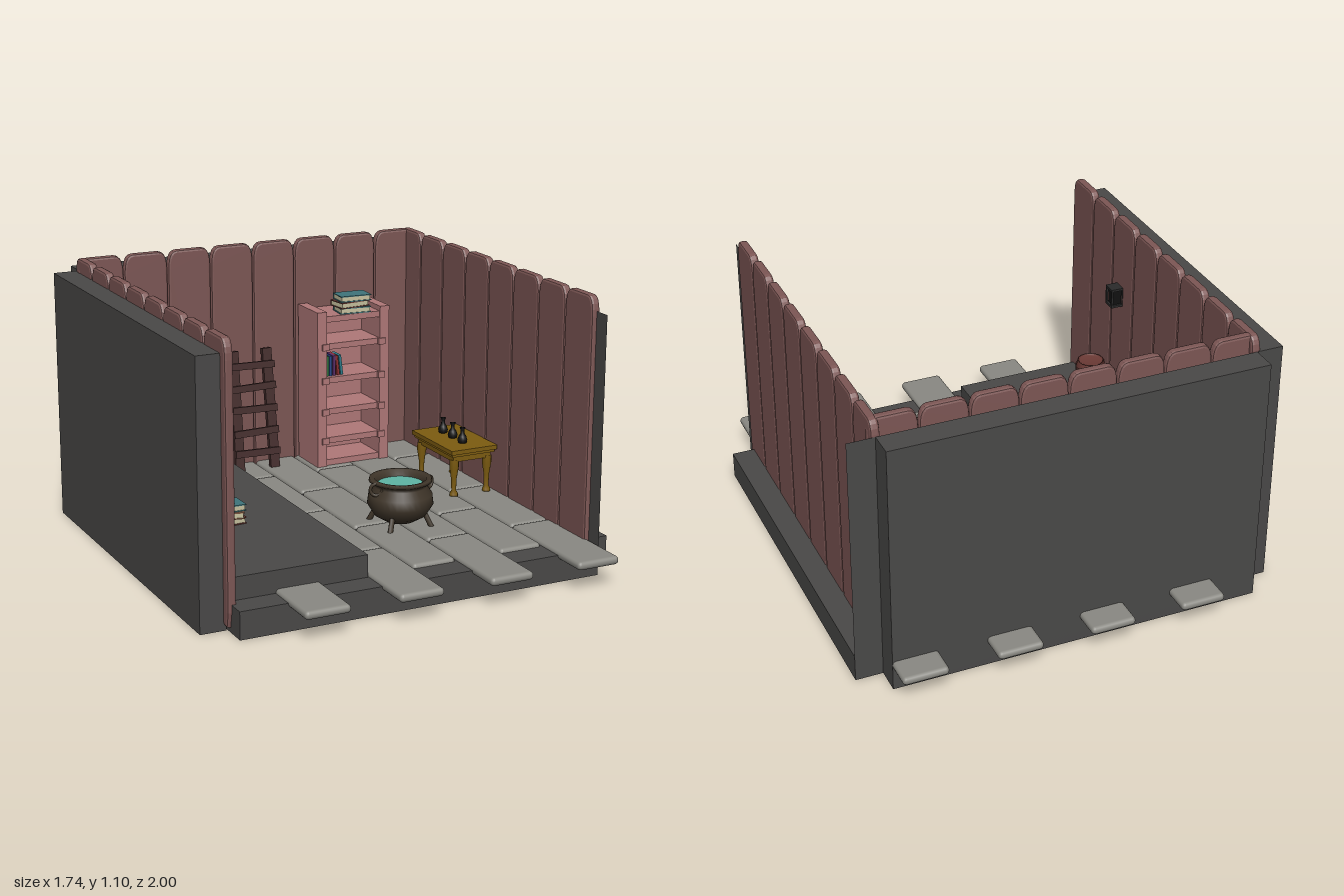
import * as THREE from 'three';
import { RoundedBoxGeometry } from 'three/addons/geometries/RoundedBoxGeometry.js';

const mats = {};
function mat(color, double = false) {
  const key = color + '_' + double;
  return mats[key] ??= new THREE.MeshStandardMaterial({ color, side: double ? THREE.DoubleSide : THREE.FrontSide });
}
const C = { wall: 0x4a4948, stone: 0x8a8983, plank: 0x7d5755, pink: 0xb07878, dark: 0x432b2a, red: 0x6b3a35,
  band: 0x4f2d2a, gold: 0x7d5c10, iron: 0x40362a, teal: 0x3f757c, page: 0xc8c2a0, black: 0x111111 };

function add(parent, name, geo, color, x = 0, y = 0, z = 0, double = false) {
  const m = new THREE.Mesh(geo, mat(color, double));
  m.name = name;
  m.position.set(x, y, z);
  parent.add(m);
  return m;
}
// box given by its extents on each axis
function span(parent, name, color, x0, x1, y0, y1, z0, z1) {
  return add(parent, name, new THREE.BoxGeometry(x1 - x0, y1 - y0, z1 - z0), color, (x0 + x1) / 2, (y0 + y1) / 2, (z0 + z1) / 2);
}
function group(parent, name, x = 0, y = 0, z = 0, ry = 0) {
  const g = new THREE.Group();
  g.name = name;
  g.position.set(x, y, z);
  g.rotation.y = ry;
  parent.add(g);
  return g;
}
const lathe = (pts, n = 24) => new THREE.LatheGeometry(pts.map(p => new THREE.Vector2(...p)), n);

// upright board with rounded top corners and bevelled edges
function plankGeometry(w, h, t) {
  const b = 0.01, x = w / 2 - b, s = new THREE.Shape();
  s.moveTo(-x + 0.01, b);
  s.lineTo(x - 0.01, b);
  s.lineTo(x, 0.06);
  s.lineTo(x, h - 0.08);
  s.quadraticCurveTo(x, h - b, x - 0.03, h - b);
  s.lineTo(-x + 0.03, h - b);
  s.quadraticCurveTo(-x, h - b, -x, h - 0.08);
  s.lineTo(-x, 0.06);
  const g = new THREE.ExtrudeGeometry(s, { depth: t - 2 * b, bevelThickness: b, bevelSize: b, bevelSegments: 2, curveSegments: 5 });
  return g.translate(0, 0, -t / 2 + b);
}

function buildShell(root) {
  const g = group(root, 'shell');
  span(g, 'floorSlab', C.wall, -0.76, 0.76, 0, 0.11, -0.885, 0.85);
  span(g, 'rightFooting', C.wall, 0.76, 0.87, 0, 0.11, -0.78, 0.74);
  span(g, 'leftWall', C.wall, -0.87, -0.765, 0, 1.04, -0.78, 0.74);
  span(g, 'backWall', C.wall, -0.76, 0.76, 0, 1.04, -0.885, -0.78);
  // thin end panels of the two open walls
  add(g, 'rightWallEnd', new THREE.PlaneGeometry(0.11, 1.04), C.wall, 0.815, 0.52, -0.78, true);
  add(g, 'frontWallEnd', new THREE.PlaneGeometry(0.11, 1.04), C.wall, 0.76, 0.52, 0.795, true).rotation.y = Math.PI / 2;
  span(g, 'platform', C.wall, -0.755, -0.19, 0.1, 0.2, -0.75, 0.74);

  const plank = plankGeometry(0.192, 1.08, 0.036);
  for (let i = 0; i < 8; i++) {
    const p = (i - 3.5) * 0.195;
    add(g, 'backPlank', plank, C.plank, p, 0.02, -0.735);
    for (const s of [-1, 1]) add(g, 'sidePlank', plank, C.plank, s * 0.758, 0.02, p).rotation.y = s * Math.PI / 2;
  }
  // paving: alternate columns are offset by half a slab
  const slab = len => new RoundedBoxGeometry(0.184, 0.034, len, 2, 0.016);
  const long = slab(0.497), shorter = slab(0.49);
  for (const x of [-0.476, -0.094, 0.288, 0.668])
    for (let i = 0; i < 4; i++) add(g, 'pavingStone', long, C.stone, x, 0.109, -0.75 + i * 0.5);
  for (const x of [0.097, 0.478])
    for (let i = 0; i < 3; i++) add(g, 'pavingStone', shorter, C.stone, x, 0.109, -0.498 + i * 0.495);
}

function buildCauldron(root) {
  const g = group(root, 'cauldron', 0.19, 0.12, 0.28);
  add(g, 'pot', lathe([[0, 0.012], [0.06, 0.018], [0.105, 0.045], [0.133, 0.09], [0.128, 0.13], [0.105, 0.162], [0.11, 0.175],
    [0.127, 0.184], [0.124, 0.195], [0.105, 0.195], [0.092, 0.175], [0.09, 0.14]], 32), C.iron, 0, 0, 0, true);
  add(g, 'potion', new THREE.CircleGeometry(0.096, 32).rotateX(-Math.PI / 2), 0x5fb5a5, 0, 0.17, 0);
  for (const s of [-1, 1]) add(g, 'handle', new THREE.TorusGeometry(0.024, 0.007, 8, 16), C.iron, s * 0.118, 0.165, 0.02).rotation.y = 0.5 * s;
  for (let i = 0; i < 4; i++) {
    const a = Math.PI / 4 + i * Math.PI / 2, at = (r, y) => new THREE.Vector3(Math.cos(a) * r, y, Math.sin(a) * r);
    add(g, 'foot', new THREE.TubeGeometry(new THREE.LineCurve3(at(0.1, 0.06), at(0.135, -0.005)), 1, 0.011, 8), C.iron, 0, 0, 0, true);
  }
}

function buildTable(root) {
  const g = group(root, 'sideTable', 0.628, 0, -0.062);
  span(g, 'tableTop', C.gold, -0.108, 0.108, 0.312, 0.33, -0.173, 0.173);
  span(g, 'tableMoulding', C.gold, -0.1, 0.1, 0.3, 0.312, -0.165, 0.165);
  span(g, 'tableApron', C.gold, -0.088, 0.088, 0.275, 0.3, -0.153, 0.153);
  const leg = lathe([[0, 0.12], [0.018, 0.12], [0.018, 0.135], [0.01, 0.15], [0.012, 0.2], [0.02, 0.25], [0.02, 0.285]], 10);
  for (const x of [-0.078, 0.078]) for (const z of [-0.14, 0.14]) add(g, 'tableLeg', leg, C.gold, x, 0, z);
  const bottle = lathe([[0, 0.33], [0.018, 0.332], [0.021, 0.345], [0.016, 0.36], [0.008, 0.372], [0.008, 0.388], [0.013, 0.396], [0.007, 0.396]], 14);
  for (const z of [-0.083, 0, 0.083]) add(g, 'bottle', bottle, C.black, -0.008, 0, z, true);
}

// lying book: two covers, a spine and a page block
function book(parent, w, h, d, color, y, ry, x = 0, z = 0) {
  const g = group(parent, 'book', x, y, z, ry);
  const t = h * 0.15;
  span(g, 'pages', C.page, -w / 2 + 0.004, w / 2 - 0.004, t, h - t, -d / 2, d / 2 - 0.004);
  span(g, 'lowerCover', color, -w / 2, w / 2, 0, t, -d / 2, d / 2);
  span(g, 'upperCover', color, -w / 2, w / 2, h - t, h, -d / 2, d / 2);
  span(g, 'spine', color, -w / 2, w / 2, 0, h, -d / 2 - 0.004, -d / 2);
  return g;
}

function buildBookcase(root) {
  const g = group(root, 'bookcase', 0.38, 0, -0.61);
  span(g, 'backPanel', C.pink, -0.15, 0.15, 0.12, 0.79, -0.1, -0.085);
  for (const s of [-1, 1]) {
    span(g, 'sidePanel', C.pink, s * 0.15 - 0.022, s * 0.15 + 0.022, 0.12, 0.815, -0.1, 0.095);
    for (const y of [0.24, 0.37, 0.51, 0.66])
      span(g, 'tenon', C.pink, s * 0.135 - 0.016, s * 0.135 + 0.016, y - 0.014, y + 0.014, 0.08, 0.102);
  }
  for (const y of [0.14, 0.24, 0.37, 0.51, 0.66, 0.78]) span(g, 'shelfBoard', C.pink, -0.15, 0.15, y - 0.013, y + 0.013, -0.1, 0.088);
  [0x2f6b3c, 0x2a4a8a, 0x5a2f6b, 0x8a2f2f, 0x2f7b8a].forEach((c, i) => {
    const b = add(g, 'standingBook', new THREE.BoxGeometry(0.012, 0.088, 0.07), c, -0.113 + i * 0.016, 0.568, 0.035);
    b.rotation.z = i > 2 ? 0.12 : 0;
  });
  [[0.02, -0.1], [0.01, 0.12], [0.02, -0.06]].forEach(([x, r], i) =>
    book(g, 0.14, 0.026, 0.09, i === 1 ? C.red : C.teal, 0.793 + i * 0.026, r, x, 0.04));
}

function buildLadder(root) {
  const g = group(root, 'ladder', -0.035, 0.12, -0.615);
  g.rotation.x = -0.14;
  for (const s of [-1, 1]) add(g, 'ladderRail', new THREE.BoxGeometry(0.042, 0.525, 0.022), C.dark, s * 0.08, 0.265, 0).rotation.z = s * 0.01;
  [0.08, 0.17, 0.27, 0.365, 0.46].forEach((y, i) =>
    add(g, 'rung', new THREE.BoxGeometry(0.208, 0.03, 0.018), C.dark, 0, y, 0.016).rotation.z = (i % 2 ? 1 : -1) * 0.02);
}

function buildWallShelf(root) {
  const g = group(root, 'wallShelf', -0.433, 0, -0.67);
  add(g, 'shelfBoard', new RoundedBoxGeometry(0.25, 0.025, 0.1, 2, 0.008), C.dark, 0, 0.557, 0);
  for (const s of [-1, 1]) {
    span(g, 'bracket', C.dark, s * 0.065 - 0.012, s * 0.065 + 0.012, 0.515, 0.546, -0.05, 0.02);
    add(g, 'bracketScroll', new THREE.CylinderGeometry(0.018, 0.018, 0.024, 12).rotateZ(Math.PI / 2), C.dark, s * 0.065, 0.527, 0.02);
  }
  add(g, 'candleDish', lathe([[0, 0.572], [0.035, 0.572], [0.046, 0.584], [0.042, 0.586], [0.033, 0.578], [0, 0.578]], 20), C.band, 0, 0, 0, true);
  [[-0.018, 0.045, 0.008], [0.002, 0.055, -0.012], [0.018, 0.065, 0.01]].forEach(([x, h, z]) => {
    add(g, 'candle', new THREE.CylinderGeometry(0.006, 0.007, h, 10), C.page, x, 0.576 + h / 2, z);
    add(g, 'flame', new THREE.ConeGeometry(0.004, 0.014, 8), 0xc07a30, x, 0.583 + h, z);
  });
}

function buildPlatformProps(root) {
  // chest with two bands
  const chest = group(root, 'chest', -0.405, 0.2, -0.415, -0.41);
  add(chest, 'chestBody', new RoundedBoxGeometry(0.25, 0.07, 0.165, 2, 0.01), C.red, 0, 0.035, 0);
  for (const s of [-1, 1]) span(chest, 'chestBand', C.band, s * 0.075 - 0.02, s * 0.075 + 0.02, 0, 0.074, -0.086, 0.086);

  // barrel with staves and hoops
  const barrel = group(root, 'barrel', -0.68, 0.2, 0.445);
  add(barrel, 'barrelBody', lathe([[0, 0.002], [0.058, 0], [0.066, 0.05], [0.069, 0.09], [0.066, 0.13], [0.058, 0.18], [0.053, 0.18], [0.053, 0.17], [0, 0.17]], 16), C.red);
  for (const [y, r] of [[0.03, 0.063], [0.15, 0.063]]) add(barrel, 'hoop', new THREE.CylinderGeometry(r + 0.003, r + 0.003, 0.016, 20, 1, true), C.band, 0, y, 0, true);

  // stack of books with a dark ball on a stand
  const stack = group(root, 'bookStack', -0.527, 0.2, 0.18);
  [[C.red, 0.1], [0x9a6a50, -0.25], [C.teal, 0.02]].forEach(([c, r], i) => book(stack, 0.14, 0.027, 0.09, c, i * 0.027, r));
  add(stack, 'ballStand', lathe([[0, 0.081], [0.038, 0.081], [0.036, 0.092], [0.02, 0.105], [0.022, 0.115]], 16), C.dark, 0, 0, 0, true);
  add(stack, 'ball', new THREE.SphereGeometry(0.037, 24, 16), C.black, 0, 0.14, 0);

  // wall lantern
  const lamp = group(root, 'lantern', -0.717, 0.755, 0.31);
  span(lamp, 'lanternCore', C.black, -0.02, 0.02, -0.036, 0.036, -0.02, 0.02);
  for (const y of [-0.038, 0.038]) span(lamp, 'lanternPlate', 0x2a2a2a, -0.029, 0.029, y - 0.005, y + 0.005, -0.029, 0.029);
  for (const x of [-0.025, 0.025]) for (const z of [-0.025, 0.025]) span(lamp, 'lanternPost', 0x2a2a2a, x - 0.004, x + 0.004, -0.035, 0.035, z - 0.004, z + 0.004);
}

export function createModel() {
  const root = new THREE.Group();
  root.name = 'workshopRoom';
  [buildShell, buildCauldron, buildTable, buildBookcase, buildLadder, buildWallShelf, buildPlatformProps].forEach(f => f(root));
  return root;
}
